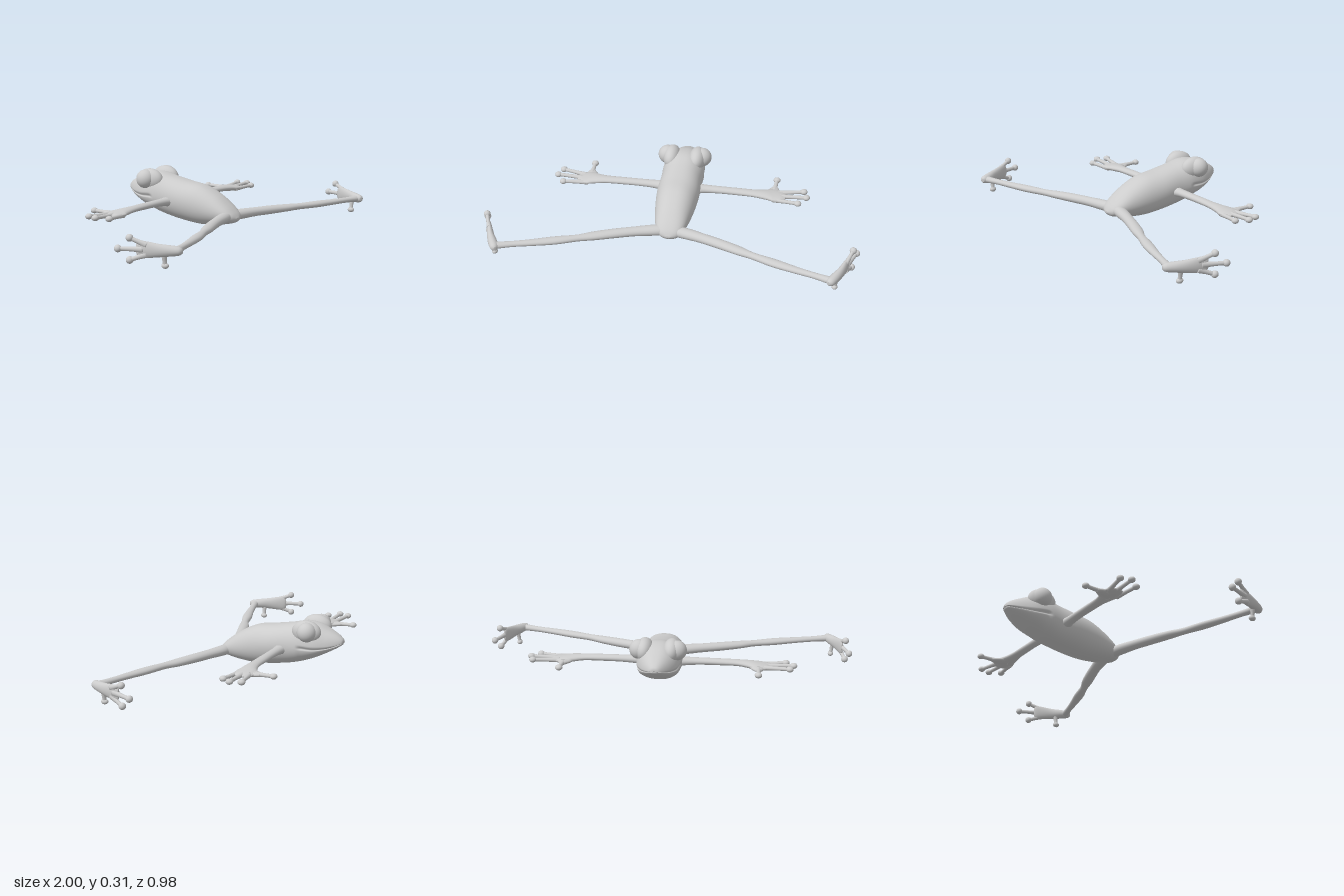
import * as THREE from 'three';

const material = new THREE.MeshStandardMaterial({ color: 0xcccccc, roughness: 0.7 });

// Closed skin over rings; point(u, angle) gives each vertex, end rings are capped.
function skin(rows, cols, point) {
  const pos = [], idx = [];
  for (let i = 0; i <= rows; i++)
    for (let j = 0; j < cols; j++) pos.push(...point(i / rows, (j / cols) * Math.PI * 2));
  for (let i = 0; i < rows; i++)
    for (let j = 0; j < cols; j++) {
      const k = (j + 1) % cols;
      const a = i * cols + j, b = i * cols + k, c = a + cols, d = b + cols;
      idx.push(a, b, d, a, d, c);
    }
  for (let j = 1; j < cols - 1; j++) {
    idx.push(0, j + 1, j);
    const e = rows * cols;
    idx.push(e, e + j, e + j + 1);
  }
  const g = new THREE.BufferGeometry();
  g.setAttribute('position', new THREE.Float32BufferAttribute(pos, 3));
  g.setIndex(idx);
  g.computeVertexNormals();
  return g;
}

// Smooth interpolation of equal-length number rows.
function sample(table, u) {
  const f = Math.min(u, 1) * (table.length - 1);
  const i = Math.min(Math.floor(f), table.length - 2), t = f - i;
  const at = (k) => table[Math.max(0, Math.min(table.length - 1, k))];
  return table[i].map((_, n) => {
    const [a, b, c, d] = [at(i - 1)[n], at(i)[n], at(i + 1)[n], at(i + 2)[n]];
    return b + 0.5 * t * (c - a + t * (2 * a - 5 * b + 4 * c - d + t * (3 * (b - c) + d - a)));
  });
}

// Limb through rows of [x, y, z, half width, half thickness]; up is the thickness direction.
function limb(table, up, rows = 28, cols = 18) {
  const ref = new THREE.Vector3(...up);
  const centre = (u) => new THREE.Vector3(...sample(table, u).slice(0, 3));
  return skin(rows, cols, (u, a) => {
    const p = sample(table, u);
    const t = centre(Math.min(1, u + 0.01)).sub(centre(Math.max(0, u - 0.01))).normalize();
    const side = ref.clone().cross(t).normalize();
    const top = t.clone().cross(side);
    return new THREE.Vector3(p[0], p[1], p[2])
      .addScaledVector(side, Math.cos(a) * p[3])
      .addScaledVector(top, Math.sin(a) * p[4]).toArray();
  });
}

function add(parent, name, geometry) {
  const mesh = new THREE.Mesh(geometry, material);
  mesh.name = name;
  parent.add(mesh);
  return mesh;
}

function ball(parent, name, centre, radii) {
  const mesh = add(parent, name, new THREE.SphereGeometry(1, 32, 24));
  mesh.position.set(...centre);
  mesh.scale.set(...radii);
  return mesh;
}

// Body stations from snout to rump: z, widest height, top, bottom, half width
const BODY = [
  [-0.488, 0.192, 0.198, 0.188, 0.006],
  [-0.482, 0.190, 0.214, 0.180, 0.026],
  [-0.455, 0.180, 0.234, 0.163, 0.053],
  [-0.41, 0.171, 0.256, 0.139, 0.082],
  [-0.35, 0.165, 0.281, 0.108, 0.107],
  [-0.28, 0.167, 0.288, 0.079, 0.115],
  [-0.2, 0.160, 0.270, 0.056, 0.112],
  [-0.1, 0.148, 0.251, 0.039, 0.114],
  [0, 0.132, 0.235, 0.029, 0.106],
  [0.09, 0.112, 0.195, 0.034, 0.092],
  [0.16, 0.098, 0.146, 0.045, 0.075],
  [0.2, 0.085, 0.109, 0.056, 0.052],
  [0.217, 0.078, 0.083, 0.072, 0.012],
];

function bodyGeometry() {
  return skin(110, 120, (u, a) => {
    const [z, mid, top, bottom, w] = sample(BODY, u);
    const c = Math.cos(a), s = Math.sin(a);
    let x = w * Math.sign(c) * Math.pow(Math.abs(c), 0.85);
    let y = mid + (s > 0 ? top - mid : mid - bottom) * s;
    // mouth: a thin groove with a slightly set back lower jaw
    const fade = THREE.MathUtils.smoothstep(-z, 0.26, 0.29);
    const fromLip = Math.abs(Math.asin(s)) / 0.06;
    const groove = fade * Math.exp(-fromLip * fromLip) * 0.09;
    const jaw = s < -0.04 ? 0.04 * fade : 0;
    x *= 1 - groove - jaw;
    return [x, y, z + (groove + jaw) * 0.1 * THREE.MathUtils.smoothstep(-z, 0.4, 0.48)];
  });
}

const UP = [0, 1, 0], OUT = [1, 0, 0];

// A slim digit that ends in a round pad
function digit(parent, name, from, to, pad, up, s) {
  const mid = from.map((v, i) => v + (to[i] - v) * 0.55);
  const rows = [[...from, 0.016, 0.013], [...mid, 0.011, 0.010], [...to, 0.011, 0.010]];
  add(parent, name, limb(rows.map(([x, ...r]) => [x * s, ...r]), up, 12, 12));
  ball(parent, name + 'Pad', [to[0] * s, to[1], to[2]], pad);
}

export function createModel() {
  const frog = new THREE.Group();
  frog.name = 'frog';
  add(frog, 'body', bodyGeometry());

  for (const s of [1, -1]) {
    const label = s > 0 ? 'left' : 'right';
    const mirror = (rows) => rows.map(([x, ...r]) => [x * s, ...r]);

    // Eyes under raised brows
    const eye = new THREE.Group();
    eye.name = label + 'Eye';
    frog.add(eye);
    ball(eye, 'brow', [0.07 * s, 0.249, -0.308], [0.047, 0.06, 0.08]);
    ball(eye, 'eyeball', [0.096 * s, 0.254, -0.32], [0.051, 0.051, 0.051]);

    // Front limb with a flat palm
    const arm = new THREE.Group();
    arm.name = label + 'Arm';
    frog.add(arm);
    add(arm, 'arm', limb(mirror([
      [0.06, 0.142, -0.17, 0.042, 0.034],
      [0.13, 0.146, -0.172, 0.028, 0.022],
      [0.22, 0.148, -0.172, 0.025, 0.018],
      [0.31, 0.148, -0.172, 0.026, 0.017],
      [0.40, 0.147, -0.172, 0.029, 0.016],
      [0.46, 0.143, -0.176, 0.040, 0.018],
      [0.505, 0.139, -0.182, 0.056, 0.017],
      [0.55, 0.138, -0.178, 0.048, 0.012],
      [0.575, 0.138, -0.177, 0.02, 0.006],
    ]), UP, 48));
    add(arm, 'thumbWeb', limb(mirror([
      [0.49, 0.138, -0.175, 0.045, 0.016],
      [0.505, 0.137, -0.225, 0.034, 0.013],
      [0.51, 0.138, -0.265, 0.013, 0.010],
    ]), UP, 14));
    [[[0.508, 0.138, -0.23], [0.512, 0.141, -0.332]],
     [[0.53, 0.138, -0.21], [0.668, 0.144, -0.236]],
     [[0.53, 0.138, -0.178], [0.686, 0.144, -0.18]],
     [[0.51, 0.134, -0.145], [0.645, 0.139, -0.124]],
    ].forEach(([from, to], i) =>
      digit(arm, 'finger' + (i + 1), from, to, [0.019, 0.015, 0.019], UP, s));

    // Stretched hind leg
    const leg = new THREE.Group();
    leg.name = label + 'Leg';
    frog.add(leg);
    add(leg, 'leg', limb(mirror([
      [0.02, 0.086, 0.165, 0.03, 0.028],
      [0.09, 0.087, 0.180, 0.034, 0.027],
      [0.18, 0.088, 0.208, 0.030, 0.024],
      [0.28, 0.088, 0.244, 0.030, 0.023],
      [0.38, 0.088, 0.284, 0.029, 0.020],
      [0.46, 0.088, 0.318, 0.021, 0.017],
      [0.57, 0.088, 0.359, 0.027, 0.018],
      [0.68, 0.088, 0.397, 0.022, 0.016],
      [0.78, 0.088, 0.428, 0.018, 0.015],
      [0.865, 0.088, 0.455, 0.022, 0.018],
    ]), UP, 60));

    // Upright foot, thin from side to side
    add(leg, 'foot', limb(mirror([
      [0.856, 0.088, 0.484, 0.010, 0.008],
      [0.864, 0.088, 0.470, 0.021, 0.022],
      [0.885, 0.088, 0.430, 0.027, 0.024],
      [0.908, 0.088, 0.385, 0.032, 0.020],
      [0.928, 0.089, 0.335, 0.039, 0.016],
      [0.940, 0.090, 0.300, 0.040, 0.011],
      [0.945, 0.090, 0.285, 0.025, 0.006],
    ]), OUT, 30));
    [[[0.932, 0.110, 0.335], [0.962, 0.142, 0.258]],
     [[0.938, 0.090, 0.320], [0.980, 0.088, 0.203]],
     [[0.932, 0.068, 0.335], [0.960, 0.037, 0.256]],
    ].forEach(([from, to], i) =>
      digit(leg, 'toe' + (i + 1), from, to, [0.018, 0.018, 0.018], OUT, s));
    digit(leg, 'spurToe', [0.895, 0.075, 0.405], [0.886, 0.015, 0.405], [0.015, 0.014, 0.019], OUT, s);
  }
  return frog;
}
